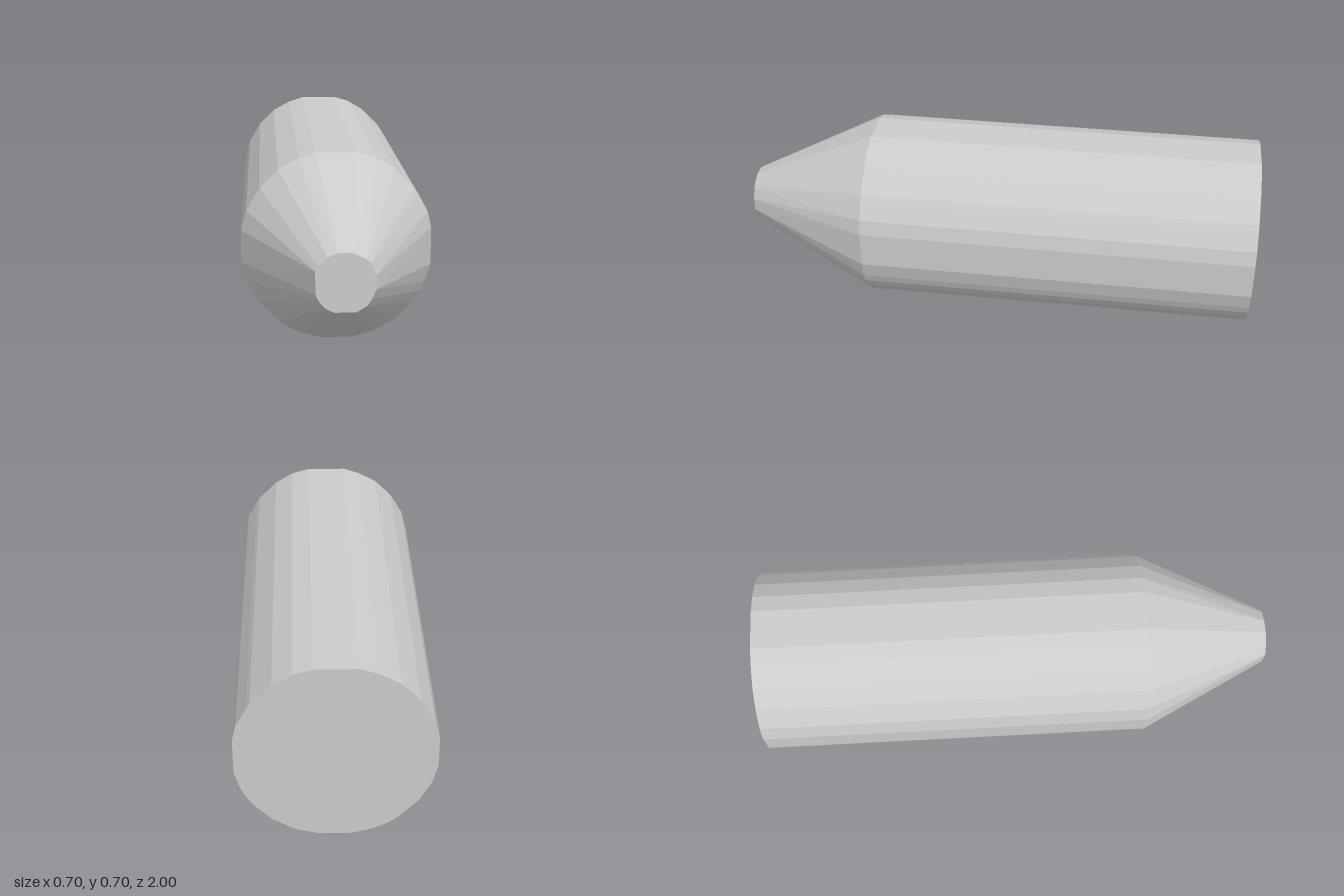
import * as THREE from 'three';
import { ConvexGeometry } from 'three/addons/geometries/ConvexGeometry.js';

const BACK = -1, JOINT = 0.5, TIP = 1;

// Irregular outline of the body, clockwise from the top (x, y)
const bodyOutline = [
  [-0.075, 0.697], [0.076, 0.697], [0.143, 0.678], [0.212, 0.636], [0.285, 0.563], [0.3, 0.539],
  [0.335, 0.474], [0.348, 0.416], [0.348, 0.278], [0.328, 0.211], [0.311, 0.174], [0.281, 0.131],
  [0.222, 0.07], [0.14, 0.021], [0.058, 0], [-0.058, 0], [-0.128, 0.019], [-0.17, 0.038],
  [-0.207, 0.062], [-0.285, 0.142], [-0.328, 0.218], [-0.348, 0.293], [-0.348, 0.412],
  [-0.328, 0.487], [-0.279, 0.57], [-0.212, 0.637], [-0.138, 0.677],
];

// Outline of the blunt tip
const tipOutline = [
  [-0.022, 0.455], [0.024, 0.455], [0.071, 0.433], [0.084, 0.418], [0.102, 0.377], [0.104, 0.33],
  [0.089, 0.298], [0.073, 0.274], [0.037, 0.252], [-0.037, 0.252], [-0.065, 0.267],
  [-0.084, 0.287], [-0.097, 0.313], [-0.099, 0.393], [-0.088, 0.41], [-0.058, 0.44],
];

// Facetted skin between two outlines, left open where the parts join
function skin(outlineA, zA, outlineB, zB) {
  const ring = (outline, z) => outline.map(([x, y]) => new THREE.Vector3(x, y, z));
  const hull = new ConvexGeometry([...ring(outlineA, zA), ...ring(outlineB, zB)]);
  const p = hull.attributes.position;
  const kept = [];
  for (let i = 0; i < p.count; i += 3) {
    const corners = [i, i + 1, i + 2];
    if (corners.every((c) => Math.abs(p.getZ(c) - JOINT) < 1e-6)) continue;
    for (const c of corners) kept.push(p.getX(c), p.getY(c), p.getZ(c));
  }
  const geometry = new THREE.BufferGeometry();
  geometry.setAttribute('position', new THREE.Float32BufferAttribute(kept, 3));
  geometry.computeVertexNormals();
  return geometry;
}

export function createModel() {
  const group = new THREE.Group();
  const material = new THREE.MeshStandardMaterial({ color: 0xcccccc, flatShading: true });
  const add = (name, geometry) => {
    const mesh = new THREE.Mesh(geometry, material);
    mesh.name = name;
    group.add(mesh);
  };

  // Straight body with its flat back end
  add('body', skin(bodyOutline, BACK, bodyOutline, JOINT));
  // Tapered nose with its flat tip
  add('nose', skin(bodyOutline, JOINT, tipOutline, TIP));

  return group;
}
